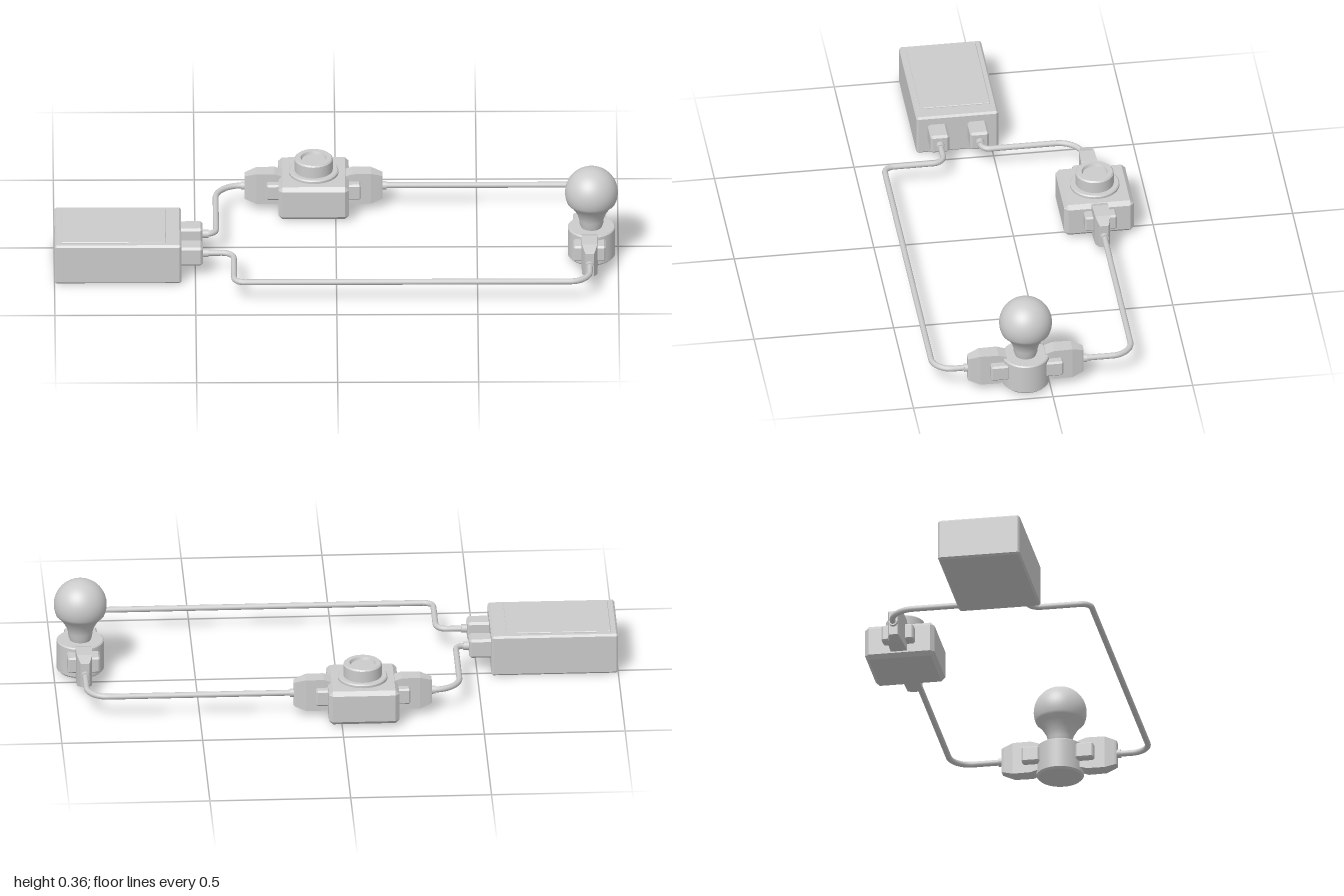
import * as THREE from 'three';
import { ConvexGeometry } from 'three/addons/geometries/ConvexGeometry.js';

const WIRE_Y = 0.085;
const grey = new THREE.MeshStandardMaterial({ color: 0xcccccc });

function add(parent, name, geometry, x = 0, y = 0, z = 0) {
  const mesh = new THREE.Mesh(geometry, grey);
  mesh.name = name;
  mesh.position.set(x, y, z);
  parent.add(mesh);
  return mesh;
}

// Box with flat bevels on every edge
function chamferBox(w, h, d, c) {
  const pts = [];
  for (const sx of [-1, 1]) for (const sy of [-1, 1]) for (const sz of [-1, 1]) {
    const [x, y, z] = [w / 2, h / 2, d / 2];
    pts.push(
      new THREE.Vector3(sx * x, sy * (y - c), sz * (z - c)),
      new THREE.Vector3(sx * (x - c), sy * y, sz * (z - c)),
      new THREE.Vector3(sx * (x - c), sy * (y - c), sz * z));
  }
  return new ConvexGeometry(pts);
}

// Convex body through rectangles [z, half width, half height]
function taperedBody(sections) {
  const pts = [];
  for (const [z, w, h] of sections)
    for (const sx of [-1, 1]) for (const sy of [-1, 1]) pts.push(new THREE.Vector3(sx * w, sy * h, z));
  return new ConvexGeometry(pts);
}

// Lathe with hard edges between the given smooth runs of [r, y]
function lathe(parent, name, runs, x, z) {
  const group = new THREE.Group();
  group.name = name;
  group.position.set(x, 0, z);
  parent.add(group);
  runs.forEach((run, i) => add(group, name + 'Surface' + (i + 1),
    new THREE.LatheGeometry(run.map(([r, y]) => new THREE.Vector2(r, y)), 40)));
  return group;
}

// Consecutive straight runs, each with its own hard edges
const facets = pts => pts.slice(1).map((p, i) => [pts[i], p]);

// Plug pointing along local +z, its wire leaving at z = 0.22
function addPlug(parent, name, x, z, angle) {
  const plug = new THREE.Group();
  plug.name = name;
  plug.position.set(x, WIRE_Y, z);
  plug.rotation.y = angle;
  add(plug, 'plugBody', taperedBody([
    [0.07, 0.028, 0.05], [0.1, 0.029, 0.06], [0.165, 0.027, 0.06], [0.2, 0.018, 0.048], [0.207, 0.015, 0.045]]));
  add(plug, 'plugCrosspiece', chamferBox(0.115, 0.06, 0.065, 0.006), 0, 0, 0.097);
  const collar = new THREE.CylinderGeometry(0.015, 0.015, 0.02, 16).rotateX(Math.PI / 2);
  add(plug, 'plugCollar', collar, 0, 0, 0.21);
  parent.add(plug);
}

// Wire through [x, z, corner radius] points lying flat
function addWire(parent, name, points) {
  const path = new THREE.CurvePath();
  const v = points.map(([x, z]) => new THREE.Vector3(x, WIRE_Y, z));
  let from = v[0];
  for (let i = 1; i < v.length - 1; i++) {
    const r = points[i][2];
    const a = v[i].clone().add(v[i - 1].clone().sub(v[i]).setLength(r));
    const b = v[i].clone().add(v[i + 1].clone().sub(v[i]).setLength(r));
    // Handles placed for a near-circular bend
    path.add(new THREE.LineCurve3(from, a));
    path.add(new THREE.CubicBezierCurve3(a, a.clone().lerp(v[i], 0.55), b.clone().lerp(v[i], 0.55), b));
    from = b;
  }
  path.add(new THREE.LineCurve3(from, v[v.length - 1]));
  add(parent, name, new THREE.TubeGeometry(path, 200, 0.0105, 12));
}

export function createModel() {
  const model = new THREE.Group();
  model.name = 'electricCircuit';

  // Battery box with lid and two terminals
  const battery = new THREE.Group();
  battery.name = 'batteryBox';
  model.add(battery);
  add(battery, 'batteryCase', chamferBox(0.45, 0.153, 0.294, 0.007), -0.775, 0.0765, 0.122);
  add(battery, 'batteryLid', chamferBox(0.37, 0.008, 0.25, 0.002), -0.79, 0.153, 0.122);
  for (const z of [0.053, 0.195]) {
    add(battery, 'terminal', chamferBox(0.085, 0.072, 0.068, 0.008), -0.516, WIRE_Y, z);
    add(battery, 'terminalCollar',
      new THREE.CylinderGeometry(0.015, 0.015, 0.03, 16).rotateZ(Math.PI / 2), -0.468, WIRE_Y, z);
  }

  // Push button switch
  const sx = -0.078, sz = -0.302;
  const pushSwitch = new THREE.Group();
  pushSwitch.name = 'pushSwitch';
  model.add(pushSwitch);
  add(pushSwitch, 'switchCase', chamferBox(0.25, 0.128, 0.25, 0.014), sx, 0.074, sz);
  lathe(pushSwitch, 'switchBezel',
    facets([[0.088, 0.13], [0.088, 0.146], [0.084, 0.15], [0.06, 0.15]]), sx, sz);
  lathe(pushSwitch, 'switchButton',
    facets([[0.068, 0.145], [0.068, 0.193], [0.063, 0.198], [0.046, 0.198], [0.042, 0.188], [0, 0.188]]), sx, sz);
  addPlug(pushSwitch, 'switchPlugRight', sx - 0.038, sz, -Math.PI / 2);
  addPlug(pushSwitch, 'switchPlugLeft', sx + 0.038, sz, Math.PI / 2);

  // Lamp: holder and bulb
  const lx = 0.905, lz = 0.085, plugX = 0.898;
  const lamp = new THREE.Group();
  lamp.name = 'lamp';
  model.add(lamp);
  lathe(lamp, 'lampHolder',
    facets([[0, 0.012], [0.077, 0.012], [0.084, 0.019], [0.084, 0.126], [0.08, 0.13], [0, 0.13]]), lx, lz);
  const glass = [[0.036, 0.125], [0.042, 0.143], [0.044, 0.16], [0.049, 0.178], [0.06, 0.198], [0.073, 0.216]];
  for (let i = 0; i <= 20; i++) {
    const a = THREE.MathUtils.lerp(-0.42, Math.PI / 2, i / 20);
    glass.push([Math.max(0, 0.094 * Math.cos(a)), 0.266 + 0.094 * Math.sin(a)]);
  }
  lathe(lamp, 'bulb', [glass], lx, lz);
  addPlug(lamp, 'lampPlugFront', plugX, lz, 0);
  addPlug(lamp, 'lampPlugBack', plugX, lz, Math.PI);

  // Wires joining the three parts
  addWire(model, 'wireBatteryToSwitch',
    [[-0.49, 0.053], [-0.426, 0.053, 0.03], [-0.426, sz, 0.09], [sx - 0.24, sz]]);
  addWire(model, 'wireSwitchToLamp', [[sx + 0.24, sz], [plugX, sz, 0.075], [plugX, lz - 0.2]]);
  addWire(model, 'wireLampToBattery',
    [[plugX, lz + 0.2], [plugX, 0.413, 0.07], [-0.364, 0.413, 0.035], [-0.364, 0.195, 0.04], [-0.49, 0.195]]);

  return model;
}
